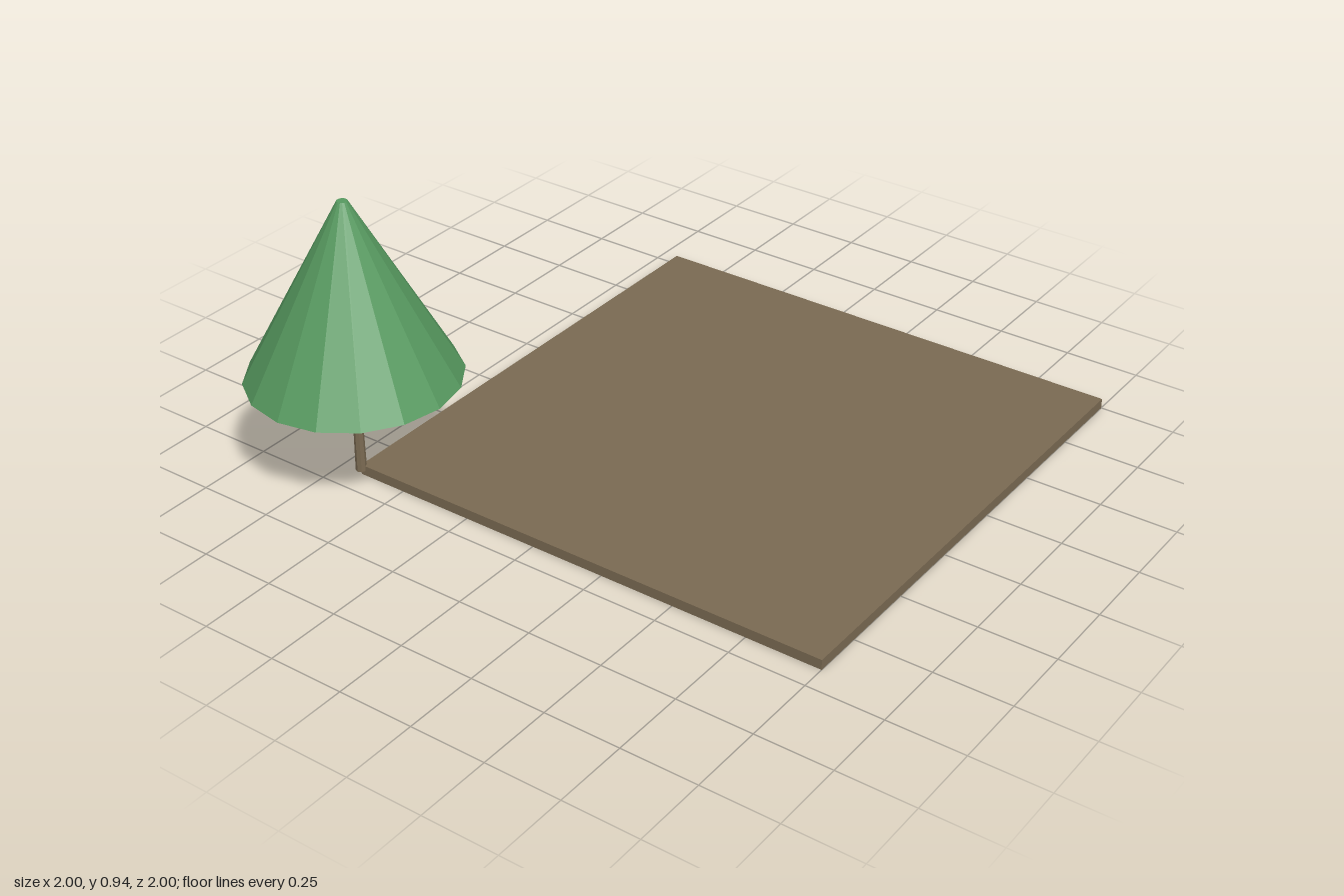
import * as THREE from 'three';

export function createModel() {
  const model = new THREE.Group();
  const brown = new THREE.MeshStandardMaterial({ name: 'earthBrown', color: 0x7a6a52, flatShading: true });
  const green = new THREE.MeshStandardMaterial({ name: 'leafGreen', color: 0x579a60, flatShading: true });

  const add = (parent, name, geometry, material, x, y, z) => {
    const mesh = new THREE.Mesh(geometry, material);
    mesh.name = name;
    mesh.position.set(x, y, z);
    parent.add(mesh);
  };

  // Square slab of ground, its front right corner under the tree
  const side = 5 / 3, thick = 1 / 30;
  add(model, 'ground', new THREE.BoxGeometry(side, thick, side), brown, 1 / 6, thick / 2, -1 / 6);

  // Tree rooted at the middle height of the slab
  const tree = new THREE.Group();
  tree.name = 'tree';
  tree.position.set(-2 / 3, thick / 2, 2 / 3);
  model.add(tree);

  // Slightly tapered trunk, reaching just into the crown
  add(tree, 'trunk', new THREE.CylinderGeometry(0.013, 0.0175, 0.34, 8), brown, 0, 0.17, 0);

  // Sixteen-sided conical crown with a small flat tip
  const crownBase = 0.337, crownHeight = 0.583;
  add(tree, 'crown', new THREE.CylinderGeometry(0.0167, 1 / 3, crownHeight, 16), green,
    0, crownBase + crownHeight / 2, 0);

  return model;
}
